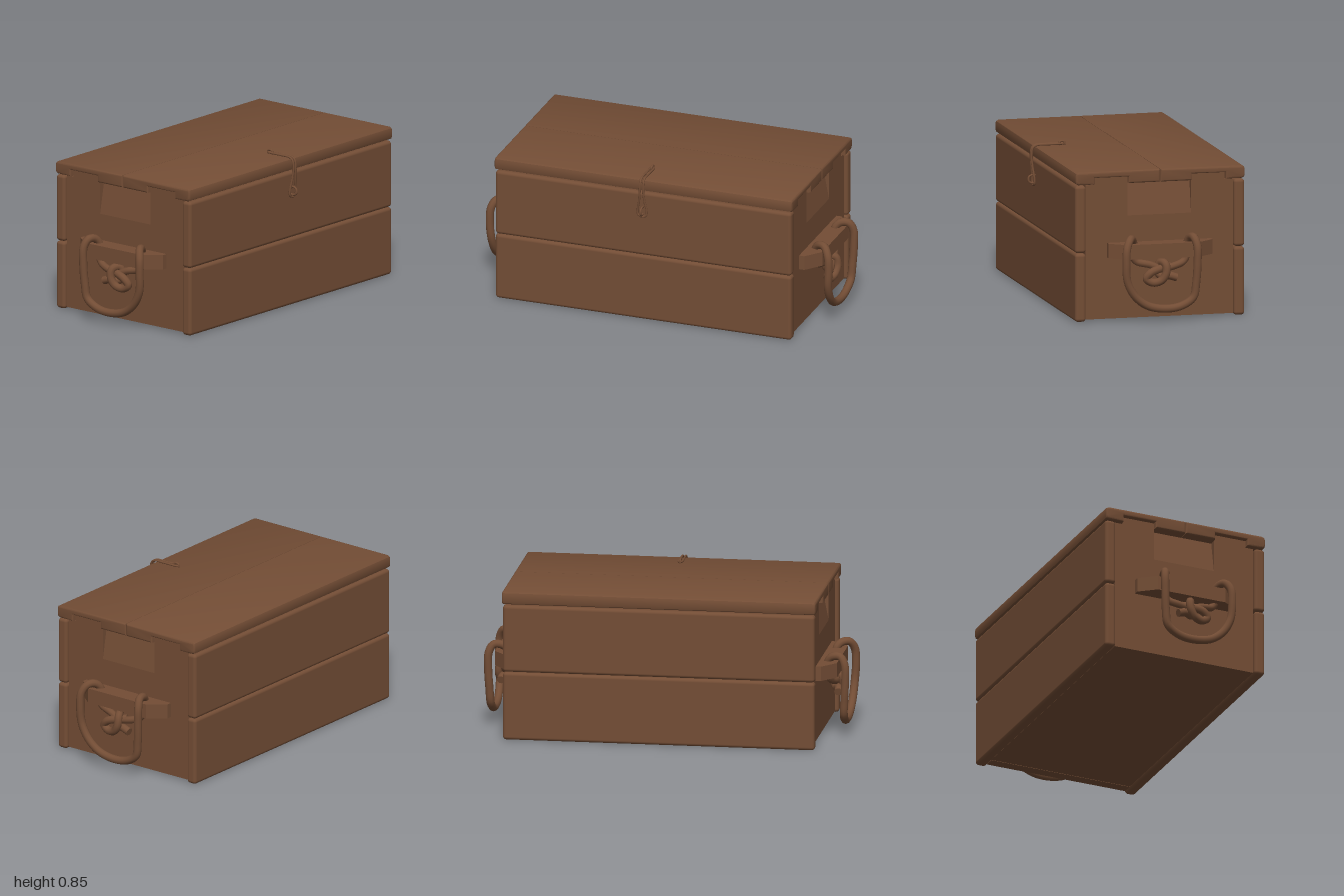
import * as THREE from 'three';
import { toCreasedNormals } from 'three/addons/utils/BufferGeometryUtils.js';
import { RoundedBoxGeometry } from 'three/addons/geometries/RoundedBoxGeometry.js';

const brown = new THREE.MeshStandardMaterial({ color: 0x734d35 });
brown.name = 'brown';

const MID_Z = -0.02; // front-to-back middle of the box

function add(parent, name, geometry) {
  const mesh = new THREE.Mesh(geometry, brown);
  mesh.name = name;
  parent.add(mesh);
  return mesh;
}

// Box given by its limits, with optional rounded edges
function block(parent, name, [x0, x1], [y0, y1], [z0, z1], r = 0) {
  const size = [x1 - x0, y1 - y0, z1 - z0];
  const geo = r ? new RoundedBoxGeometry(...size, 3, r) : new THREE.BoxGeometry(...size);
  geo.translate((x0 + x1) / 2, (y0 + y1) / 2, (z0 + z1) / 2);
  return add(parent, name, geo);
}

const shapeOf = (pts) => new THREE.Shape(pts.map(([a, b]) => new THREE.Vector2(a, b)));

// Profile of [z, y] points swept along x
function sweepX(pts, x0, x1, bevel = 0) {
  const geo = new THREE.ExtrudeGeometry(shapeOf(pts.map(([z, y]) => [-z, y])), {
    depth: x1 - x0 - 2 * bevel, bevelEnabled: bevel > 0,
    bevelSize: bevel, bevelOffset: -bevel, bevelThickness: bevel, bevelSegments: 3,
  });
  geo.rotateY(Math.PI / 2).translate(x0 + bevel, 0, 0);
  return toCreasedNormals(geo, 0.7);
}

// Smooth tube with closed ends through [x, y, z] points
function cord(parent, name, pts, radius, segments, closed = false) {
  const v = pts.map((p) => new THREE.Vector3(...p));
  const curve = new THREE.CatmullRomCurve3(v, closed, 'centripetal');
  add(parent, name, new THREE.TubeGeometry(curve, segments, radius, 10, closed));
  if (closed) return;
  for (const t of [0, 1]) {
    const cap = new THREE.CircleGeometry(radius, 10);
    const dir = curve.getTangent(t).multiplyScalar(t ? 1 : -1);
    const mesh = add(parent, name + 'End', cap);
    mesh.position.copy(curve.getPoint(t));
    mesh.quaternion.setFromUnitVectors(new THREE.Vector3(0, 0, 1), dir);
  }
}

// End wall with its recess, wooden cleat and rope handle; side is +1 or -1
function createEnd(side) {
  const end = new THREE.Group();
  end.name = side > 0 ? 'leftEnd' : 'rightEnd';
  const X = [0.77, 0.83];
  block(end, 'lowerEndBoard', X, [0.01, 0.249], [-0.43, 0.39]);
  block(end, 'middleEndBoard', X, [0.249, 0.499], [-0.43, 0.39]);

  // Top board: two solid shoulders with tabs, and a hollow sloping inward between them
  for (const k of [1, -1]) {
    const z = (d) => MID_Z + k * d;
    const pts = [[z(0.177), 0.499], [z(0.41), 0.499], [z(0.41), 0.745],
      [z(0.365), 0.745], [z(0.365), 0.784], [z(0.177), 0.784]];
    add(end, 'endShoulder', sweepX(pts, ...X));
  }
  const hollow = new THREE.ExtrudeGeometry(
    shapeOf([[0.77, 0.499], [0.83, 0.499], [0.83, 0.57], [0.795, 0.748], [0.77, 0.748]]),
    { depth: 0.354, bevelEnabled: false });
  add(end, 'endHollow', hollow.translate(0, 0, MID_Z - 0.177));

  // Tapered cleat
  const cleat = new THREE.ExtrudeGeometry(
    shapeOf([[0.825, -0.29], [0.86, -0.29], [0.932, -0.2], [0.932, 0.2], [0.86, 0.29], [0.825, 0.29]]),
    { depth: 0.08, bevelEnabled: false });
  add(end, 'cleat', cleat.rotateX(-Math.PI / 2).translate(0, 0.345, MID_Z));

  // Rope runs are reflected on the turned end so that both ends mirror each other
  const place = (pts) => pts.map(([x, y, z]) => [x, y, side > 0 ? z : 2 * MID_Z - z]);
  cord(end, 'ropeHandle', place([
    [0.88, 0.36, 0.14], [0.875, 0.42, 0.135], [0.9, 0.45, 0.15], [0.94, 0.453, 0.172],
    [0.967, 0.41, 0.195], [0.973, 0.33, 0.2], [0.967, 0.23, 0.192], [0.963, 0.15, 0.15],
    [0.96, 0.095, 0.08], [0.96, 0.074, -0.02], [0.96, 0.086, -0.11], [0.963, 0.13, -0.175],
    [0.967, 0.21, -0.19], [0.973, 0.32, -0.196], [0.97, 0.41, -0.196], [0.945, 0.453, -0.185],
    [0.9, 0.45, -0.175], [0.875, 0.42, -0.165], [0.88, 0.36, -0.16],
  ]), 0.022, 90);
  cord(end, 'knotStrand', place([
    [0.88, 0.36, 0.145], [0.88, 0.325, 0.12], [0.895, 0.307, 0.05], [0.9, 0.285, -0.01],
    [0.9, 0.295, -0.08], [0.885, 0.317, -0.14], [0.88, 0.36, -0.165],
  ]), 0.02, 40);
  cord(end, 'knot', place([
    [0.89, 0.297, -0.06], [0.915, 0.285, 0.0], [0.925, 0.265, 0.055], [0.92, 0.235, 0.075],
    [0.925, 0.213, 0.04], [0.935, 0.225, -0.005], [0.94, 0.265, -0.03], [0.93, 0.31, -0.03],
    [0.895, 0.32, -0.01], [0.88, 0.28, 0.005], [0.895, 0.245, -0.01], [0.915, 0.248, -0.05],
    [0.92, 0.235, -0.095],
  ]), 0.022, 70);

  if (side < 0) {
    end.rotation.y = Math.PI;
    end.position.z = 2 * MID_Z;
  }
  return end;
}

export function createModel() {
  const model = new THREE.Group();
  model.name = 'chest';

  // Long boards of the front and back, and the floor
  for (const [name, z] of [['front', [0.392, 0.452]], ['back', [-0.492, -0.432]]]) {
    block(model, name + 'LowerBoard', [-0.85, 0.85], [0, 0.374], z, 0.018);
    block(model, name + 'UpperBoard', [-0.85, 0.85], [0.376, 0.745], z, 0.018);
  }
  block(model, 'floor', [-0.83, 0.83], [0.012, 0.06], [-0.43, 0.39]);

  model.add(createEnd(1), createEnd(-1));

  // Lid of two boards, notched for the tabs of the end walls
  for (const k of [1, -1]) {
    const pts = [[0.001, 0.75], [0.177, 0.75], [0.177, 0.786], [0.366, 0.786], [0.366, 0.75],
      [0.455, 0.75], [0.468, 0.756], [0.472, 0.77], [0.472, 0.8], [0.468, 0.813],
      [0.455, 0.82], [0.001, 0.82]].map(([d, y]) => [MID_Z + k * d, y]);
    add(model, k > 0 ? 'lidFrontBoard' : 'lidBackBoard', sweepX(pts, -0.855, 0.855, 0.01));
  }

  // Wire hasp bent over the front edge, widening to an eye
  const latch = new THREE.Group();
  latch.name = 'latch';
  model.add(latch);
  const half = [[0.006, 0.829, 0.295], [0.009, 0.829, 0.38], [0.009, 0.826, 0.45],
    [0.009, 0.812, 0.469], [0.01, 0.76, 0.475], [0.016, 0.7, 0.47], [0.025, 0.65, 0.464], [0.023, 0.618, 0.463]];
  const mirrored = half.map(([x, y, z]) => [-x, y, z]).reverse();
  cord(latch, 'hasp', [...half, [0, 0.608, 0.463], ...mirrored], 0.006, 90, true);
  // Staples on the lid and on the front
  cord(latch, 'lidStaple', [[0, 0.815, 0.288], [0, 0.838, 0.292], [0, 0.842, 0.306],
    [0, 0.836, 0.319], [0, 0.815, 0.315]], 0.006, 20);
  cord(latch, 'frontStaple', [[0, 0.662, 0.445], [0, 0.662, 0.475], [0, 0.652, 0.488],
    [0, 0.63, 0.488], [0, 0.62, 0.475], [0, 0.62, 0.445]], 0.006, 24);
  return model;
}
